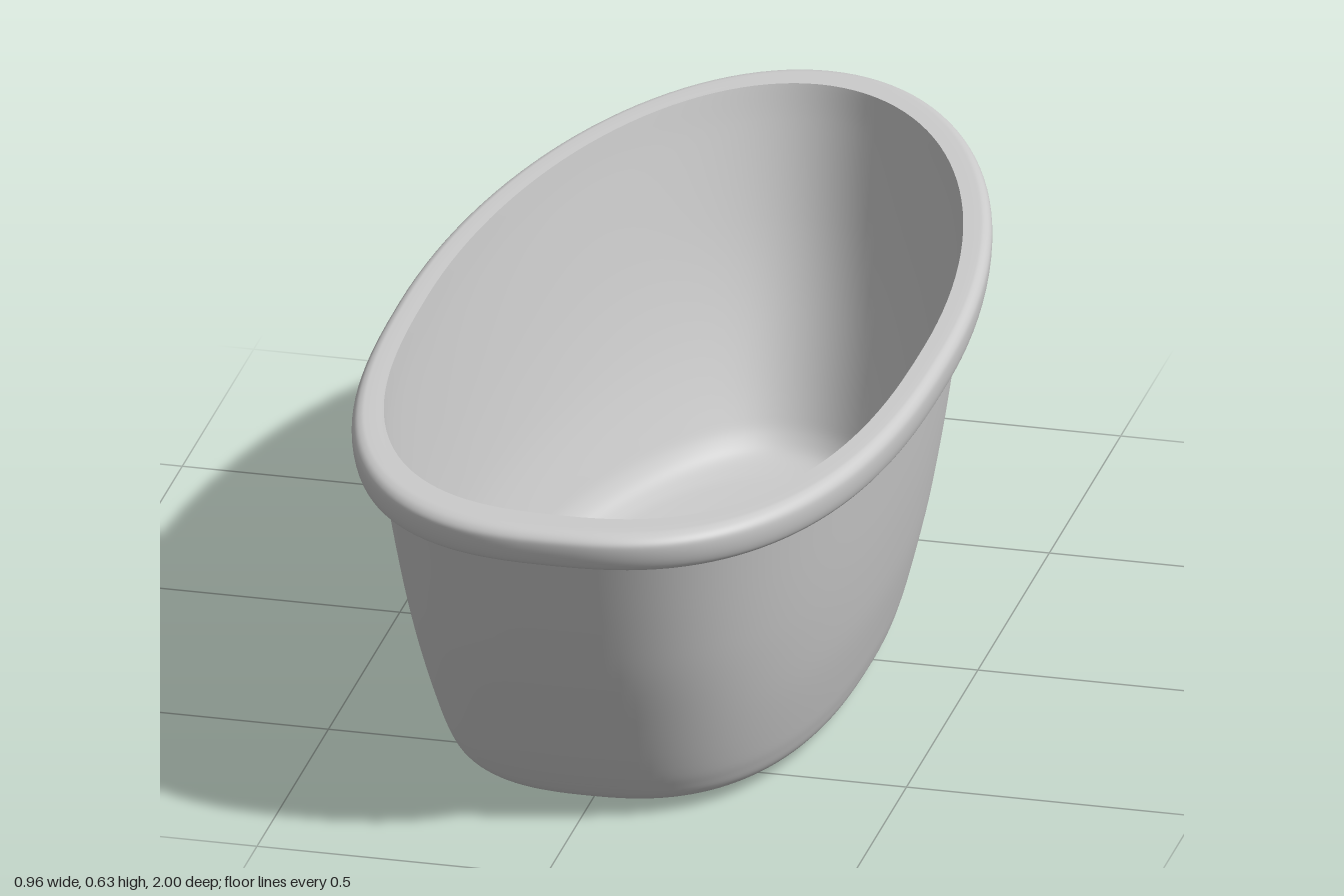
import * as THREE from 'three';

const SEGMENTS = 128;

// Egg-shaped loop: elliptical at the back, blunter at the front.
function eggPoint(angle, halfWidth, halfLength) {
  const c = Math.cos(angle), s = Math.sin(angle);
  const centre = 0.1 * halfLength;
  const power = s > 0 ? 2 / 2.6 : 1;
  const x = halfWidth * Math.sign(c) * Math.abs(c) ** power;
  const z = s > 0
    ? centre + (halfLength - centre) * s ** power
    : centre + (halfLength + centre) * s;
  return [x, z];
}

// Skins egg loops given as [y, halfWidth, halfLength]; steps > 0 smooths the profile.
function skin(name, sections, material, steps = 0) {
  let rings = sections.map(([y, w, l]) => new THREE.Vector3(w, y, l));
  if (steps) rings = new THREE.CatmullRomCurve3(rings, false, 'centripetal').getPoints(steps);

  const positions = [], index = [];
  rings.forEach((ring, r) => {
    for (let i = 0; i < SEGMENTS; i++) {
      const [x, z] = eggPoint((i / SEGMENTS) * Math.PI * 2, ring.x, ring.z);
      positions.push(x, ring.y, z);
      if (r === rings.length - 1) continue;
      const a = r * SEGMENTS + i, b = r * SEGMENTS + (i + 1) % SEGMENTS;
      index.push(a, a + SEGMENTS, b, b, a + SEGMENTS, b + SEGMENTS);
    }
  });
  const geometry = new THREE.BufferGeometry();
  geometry.setAttribute('position', new THREE.Float32BufferAttribute(positions, 3));
  geometry.setIndex(index);
  geometry.computeVertexNormals();
  const mesh = new THREE.Mesh(geometry, material);
  mesh.name = name;
  return mesh;
}

export function createModel() {
  const material = new THREE.MeshStandardMaterial({ color: 0xcccccc, side: THREE.DoubleSide });
  const group = new THREE.Group();
  group.name = 'bathtub';

  // Outer wall with a slightly domed underside
  group.add(skin('outerShell', [
    [0, 0.001, 0.002], [0.003, 0.15, 0.33], [0.009, 0.27, 0.6], [0.014, 0.31, 0.68],
    [0.03, 0.335, 0.725], [0.06, 0.347, 0.748], [0.1, 0.358, 0.77], [0.2, 0.382, 0.815],
    [0.3, 0.4, 0.856], [0.4, 0.415, 0.89], [0.56, 0.435, 0.94],
  ], material, 60));

  // Rim: flat underside, then a rounded lip running into the flat top
  const rim = new THREE.Group();
  rim.name = 'rim';
  rim.add(skin('rimUnderside', [[0.56, 0.43, 0.93], [0.56, 0.468, 0.98]], material));
  rim.add(skin('rimLip', [
    [0.56, 0.468, 0.98], [0.566, 0.472, 0.989], [0.58, 0.476, 0.996], [0.6, 0.478, 1],
    [0.612, 0.477, 0.999], [0.621, 0.472, 0.991], [0.626, 0.464, 0.977],
    [0.627, 0.455, 0.96], [0.627, 0.43, 0.92],
  ], material, 40));
  group.add(rim);

  // Inner basin down to the floor
  group.add(skin('innerBasin', [
    [0.627, 0.43, 0.92], [0.56, 0.424, 0.908], [0.4, 0.405, 0.872], [0.3, 0.391, 0.842],
    [0.2, 0.374, 0.804], [0.1, 0.35, 0.76], [0.06, 0.339, 0.738], [0.035, 0.325, 0.712],
    [0.023, 0.3, 0.665], [0.018, 0.26, 0.59], [0.014, 0.15, 0.33], [0.012, 0.001, 0.002],
  ], material, 60));

  return group;
}
